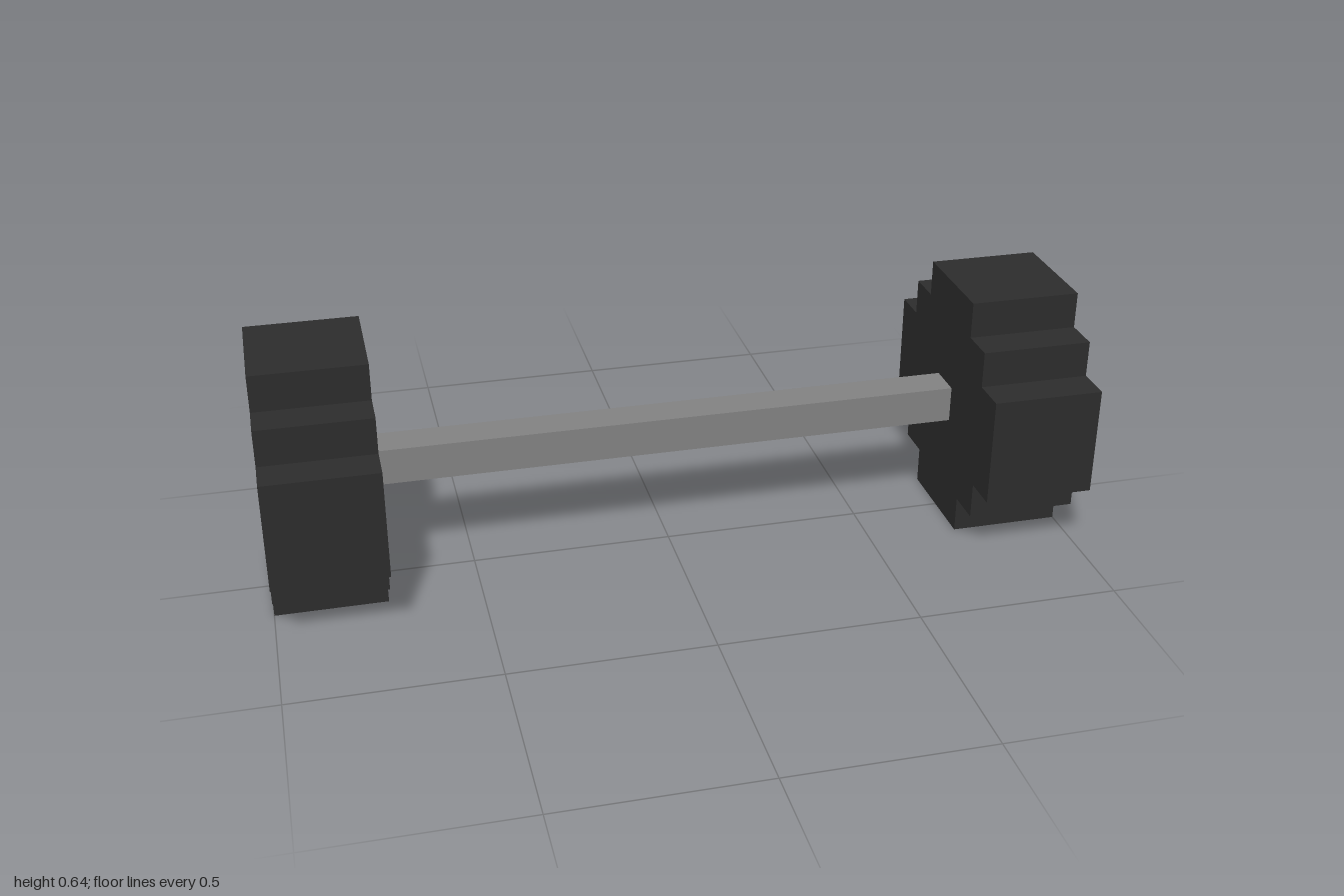
import * as THREE from 'three';

const U = 1 / 11; // one block of the grid

export function createModel() {
  const iron = new THREE.MeshStandardMaterial({ color: 0x2d2d2d });
  iron.name = 'darkIron';
  const steel = new THREE.MeshStandardMaterial({ color: 0x838383 });
  steel.name = 'greySteel';

  const model = new THREE.Group();
  model.name = 'barbell';

  // Box given by its x range and its centre and size in y and z, all in blocks
  function block(parent, name, material, x0, x1, y, z, h, d) {
    const mesh = new THREE.Mesh(new THREE.BoxGeometry((x1 - x0) * U, h * U, d * U), material);
    mesh.position.set(((x0 + x1) / 2) * U, (y + 3.5) * U, z * U);
    mesh.name = name;
    parent.add(mesh);
  }

  // Handle between the two weights
  block(model, 'bar', steel, -8, 8, 0, 0, 1, 1);

  for (const side of [1, -1]) {
    const weight = new THREE.Group();
    weight.name = side > 0 ? 'leftWeight' : 'rightWeight';
    model.add(weight);
    const add = (name, material, from, to, y, z, h, d) =>
      block(weight, name, material, Math.min(side * from, side * to),
        Math.max(side * from, side * to), y, z, h, d);

    // Stepped rim, full thickness
    for (const s of [1, -1]) {
      add('rimEdge', iron, 8, 11, s * 3, 0, 1, 3);
      add('rimSide', iron, 8, 11, 0, s * 3, 3, 1);
      for (const t of [1, -1]) add('rimCorner', iron, 8, 11, s * 2, t * 2, 1, 1);
    }

    // Recessed plate closing the inner side
    add('plate', iron, 8, 9, 0, 0, 3, 5);
    for (const s of [1, -1]) add('plate', iron, 8, 9, s * 2, 0, 1, 3);

    // Raised pinwheel of spokes
    add('crossSpoke', steel, 9, 10, 0, 0, 1, 5);
    for (const s of [1, -1]) {
      add('innerSpoke', steel, 9, 10, s, -s * 0.5, 1, 2);
      add('outerSpoke', steel, 9, 10, s * 2, 0, 1, 1);
    }

    // End of the bar
    add('hub', steel, 10, 11, 0, 0, 1, 1);
  }
  return model;
}
